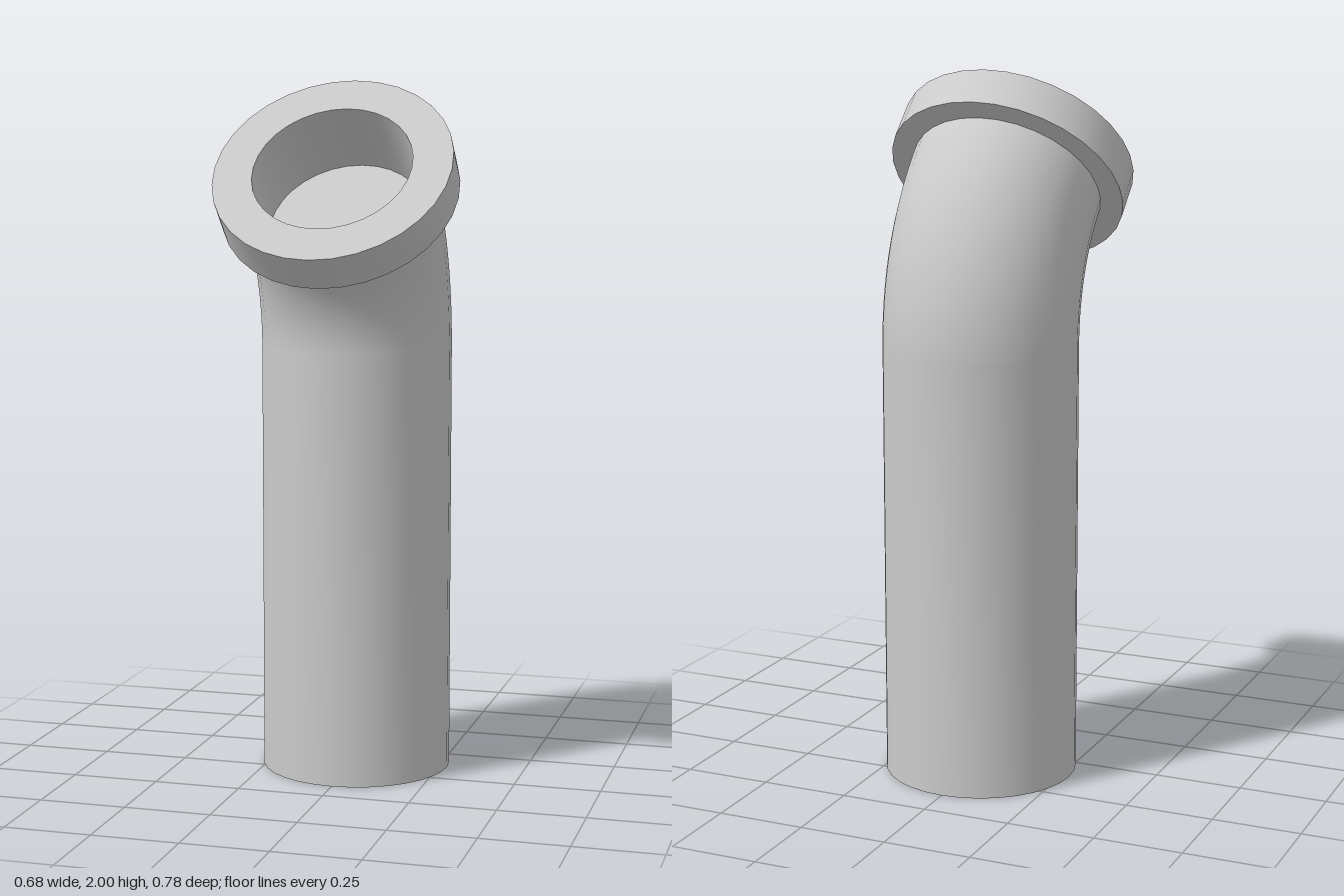
import * as THREE from 'three';
import { toCreasedNormals } from 'three/addons/utils/BufferGeometryUtils.js';

const SIDES = 32;
const PIPE_R = 0.275, PIPE_Z = -0.115; // pipe radius and axis position
const BEND_Y = 1.237, BEND_R = 0.62, BEND_ANGLE = Math.PI / 4;
const FLANGE_R = 0.34, FLANGE_T = 0.117, BORE_R = 0.227, BORE_DEPTH = 0.227;

const material = new THREE.MeshStandardMaterial({ color: 0xcccccc });

function turned(name, profile) {
  const points = profile.map(([r, y]) => new THREE.Vector2(r, y));
  const mesh = new THREE.Mesh(toCreasedNormals(new THREE.LatheGeometry(points, SIDES), 0.6), material);
  mesh.name = name;
  return mesh;
}

export function createModel() {
  const model = new THREE.Group();
  model.name = 'pipeElbow';

  // Straight upright pipe, closed underneath
  const pipe = turned('straightPipe', [[0, 0], [PIPE_R, 0], [PIPE_R, BEND_Y]]);
  pipe.position.z = PIPE_Z;

  // 45 degree bend towards the front
  const bend = new THREE.Mesh(new THREE.TorusGeometry(BEND_R, PIPE_R, SIDES, 16, BEND_ANGLE), material);
  bend.name = 'bend';
  bend.rotation.y = Math.PI / 2;
  bend.position.set(0, BEND_Y, PIPE_Z + BEND_R);

  // Flange with a blind bore, its back face sitting on the end of the bend
  const flange = turned('flange', [
    [PIPE_R - 0.015, 0], [FLANGE_R, 0], [FLANGE_R, FLANGE_T], [BORE_R, FLANGE_T],
    [BORE_R, FLANGE_T - BORE_DEPTH], [0, FLANGE_T - BORE_DEPTH],
  ]);
  flange.rotation.x = BEND_ANGLE;
  flange.position.set(
    0,
    BEND_Y + BEND_R * Math.sin(BEND_ANGLE),
    PIPE_Z + BEND_R * (1 - Math.cos(BEND_ANGLE)),
  );

  model.add(pipe, bend, flange);
  return model;
}
